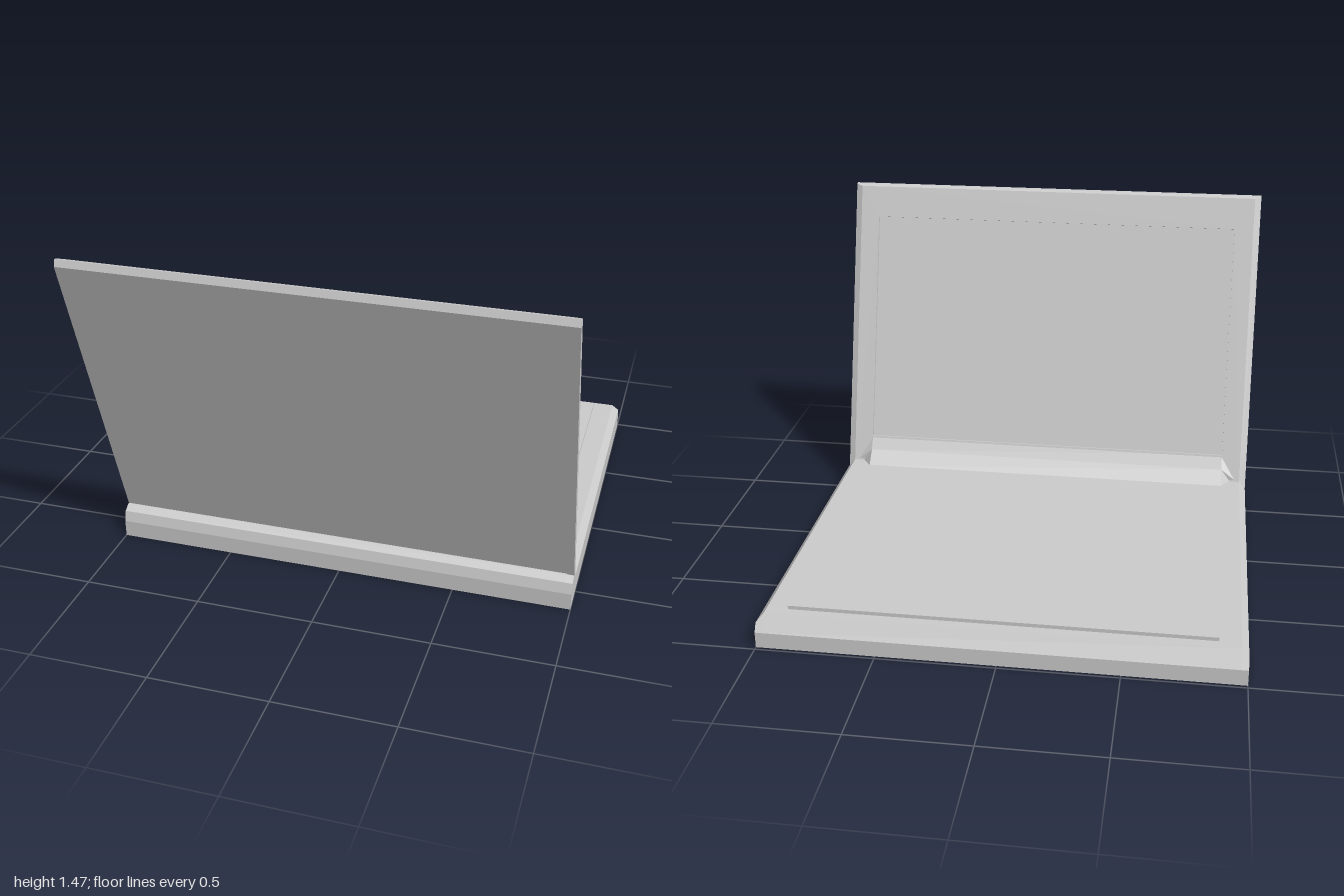
import * as THREE from 'three';
import { ConvexGeometry } from 'three/addons/geometries/ConvexGeometry.js';

const material = new THREE.MeshStandardMaterial({ color: 0xcccccc, flatShading: true });

function part(name, geometry, parent) {
  const mesh = new THREE.Mesh(geometry, material);
  mesh.name = name;
  parent.add(mesh);
  return mesh;
}

// Skin a row of [z, y] profiles placed along x, with closed ends
function loft(sections) {
  const pos = [];
  const push = (s, j) => pos.push(s.x, s.points[j][1], s.points[j][0]);
  const n = sections[0].points.length;
  for (let i = 0; i < sections.length - 1; i++) {
    const a = sections[i], b = sections[i + 1];
    for (let j = 0; j < n; j++) {
      const k = (j + 1) % n;
      push(a, j); push(b, j); push(b, k);
      push(a, j); push(b, k); push(a, k);
    }
  }
  const cap = (s, flip) => {
    const outline = s.points.map(p => new THREE.Vector2(p[0], p[1]));
    for (const [a, b, c] of THREE.ShapeUtils.triangulateShape(outline, [])) {
      (flip ? [a, c, b] : [a, b, c]).forEach(j => push(s, j));
    }
  };
  cap(sections[0], false);
  cap(sections[sections.length - 1], true);
  const geometry = new THREE.BufferGeometry();
  geometry.setAttribute('position', new THREE.Float32BufferAttribute(pos, 3));
  geometry.computeVertexNormals();
  return geometry;
}

// Convex solid from points mirrored across x
function mirroredHull(points) {
  return new ConvexGeometry(points.flatMap(([x, y, z]) =>
    [new THREE.Vector3(x, y, z), new THREE.Vector3(-x, y, z)]));
}

function rectangle(target, x, y0, y1) {
  target.moveTo(-x, y0);
  target.lineTo(x, y0);
  target.lineTo(x, y1);
  target.lineTo(-x, y1);
  target.closePath();
  return target;
}

export function createModel() {
  const model = new THREE.Group();
  model.name = 'laptop';

  // Base with chamfered sides and front, and a raised rear lip
  const rim = (z, y, front) => [[0.63, 0], [0.63, 0.075], [0.617, 0.12], [0.585, 0.14],
    [z, y], [front, y], [-0.985, 0.07], [-0.985, 0]];
  const outer = rim(0.54, 0.105, -0.963), inner = rim(0.54, 0.14, -0.94);
  part('base', loft([
    { x: -1, points: outer }, { x: -0.97, points: inner },
    { x: 0.97, points: inner }, { x: 1, points: outer },
  ]), model);

  // Raised keyboard panel
  part('keyboardPanel', new THREE.BoxGeometry(1.76, 0.03, 1.25), model)
    .position.set(0, 0.141, -0.275);

  // Hinge wedge and the web that joins it to the lid
  part('hingeWedge', mirroredHull([
    [0.88, 0.138, 0.475], [0.88, 0.2, 0.535], [0.925, 0.138, 0.535], [0.88, 0.138, 0.55], [0.88, 0.2, 0.55],
  ]), model);
  part('hingeWeb', mirroredHull([
    [0.88, 0.2, 0.535], [0.88, 0.262, 0.574], [1, 0.105, 0.536], [0.88, 0.11, 0.56], [0.97, 0.105, 0.535],
  ]), model);

  // Lid, leaning back from the hinge
  const lid = new THREE.Group();
  lid.name = 'lid';
  lid.position.set(0, 0.105, 0.569);
  lid.rotation.x = 0.302;
  model.add(lid);

  const slab = [[0, -0.012], [0, 1.398], [-0.018, 1.422], [-0.032, 1.414], [-0.032, -0.012]];
  part('lidBack', loft([{ x: -1, points: slab }, { x: 1, points: slab }]), lid);

  // Bezel around the recessed screen, its outer front edge drawn in as a chamfer
  const frame = rectangle(new THREE.Shape(), 1, -0.012, 1.414);
  frame.holes.push(rectangle(new THREE.Path(), 0.88, 0.149, 1.255));
  const bezel = new THREE.ExtrudeGeometry(frame, { depth: 0.013, bevelEnabled: false });
  bezel.translate(0, 0, -0.045);
  const p = bezel.attributes.position;
  for (let i = 0; i < p.count; i++) {
    if (p.getZ(i) > -0.04) continue;
    if (Math.abs(p.getX(i)) > 0.99) p.setX(i, Math.sign(p.getX(i)) * 0.97);
    if (p.getY(i) > 1.4) p.setY(i, 1.4035);
  }
  bezel.computeVertexNormals();
  part('screenBezel', bezel, lid);

  return model;
}
